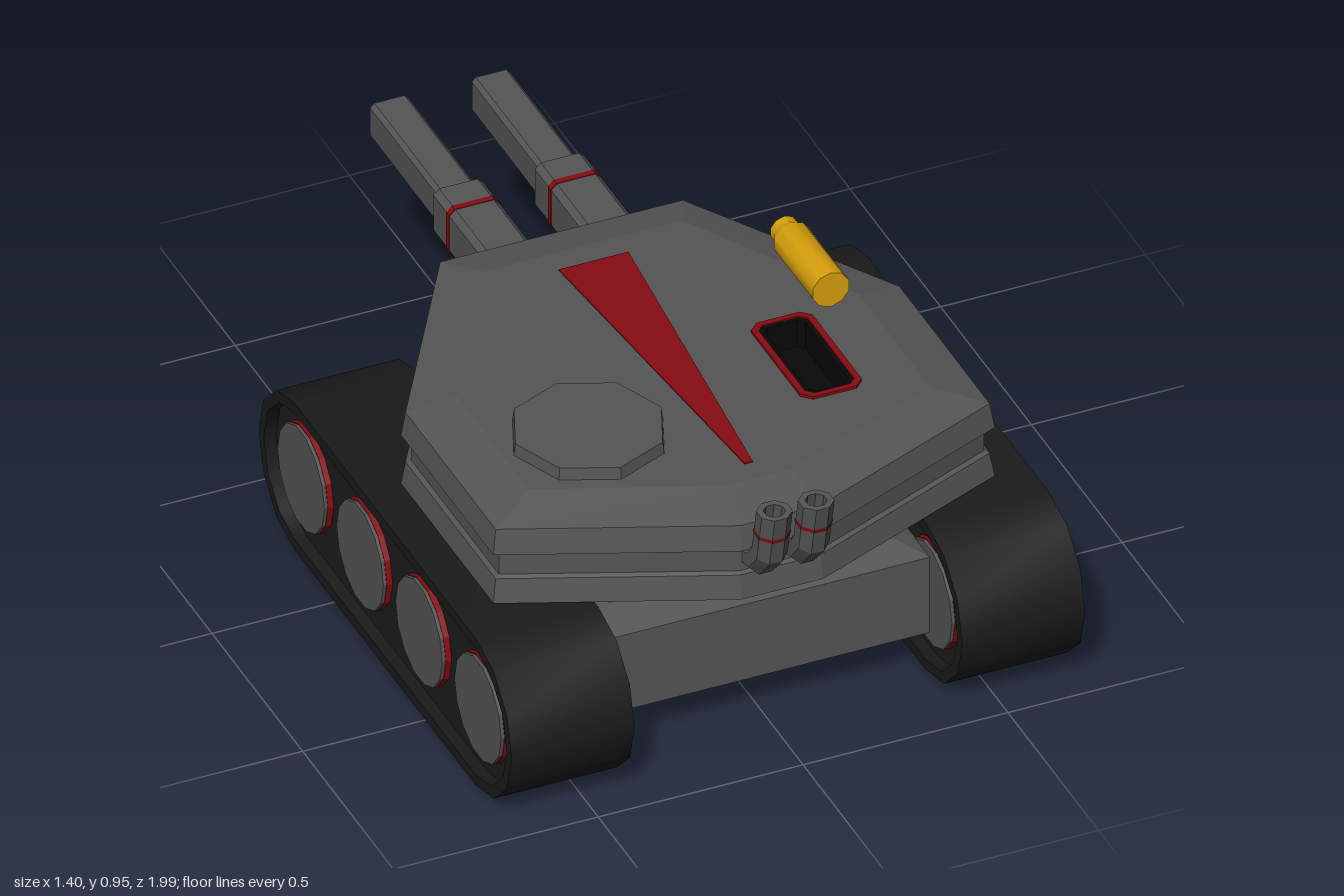
import * as THREE from 'three';
import { toCreasedNormals } from 'three/addons/utils/BufferGeometryUtils.js';

const mat = (color, flatShading = true, side = THREE.FrontSide) =>
  new THREE.MeshStandardMaterial({ color, flatShading, side });
const steel = mat(0x555555), dark = mat(0x1c1c1c), black = mat(0x080808, true, THREE.DoubleSide);
const red = mat(0x850b12), tread = mat(0x1a1a1a, false), brass = mat(0xd8a00c, false, THREE.DoubleSide);

function add(parent, name, geometry, material, x = 0, y = 0, z = 0) {
  const mesh = new THREE.Mesh(geometry, material);
  mesh.name = name;
  mesh.position.set(x, y, z);
  parent.add(mesh);
  return mesh;
}

// Skin over rings of equal length; rings run counter-clockwise seen from the end they grow towards
function loft(rings, capStart = true, capEnd = true) {
  const pos = [];
  const tri = (...p) => p.forEach((v) => pos.push(...v));
  const n = rings[0].length;
  for (let i = 0; i + 1 < rings.length; i++) {
    for (let j = 0; j < n; j++) {
      const k = (j + 1) % n, lo = rings[i], hi = rings[i + 1];
      tri(lo[j], lo[k], hi[k]);
      tri(lo[j], hi[k], hi[j]);
    }
  }
  const last = rings[rings.length - 1];
  for (let j = 1; j + 1 < n; j++) {
    if (capStart) tri(rings[0][0], rings[0][j + 1], rings[0][j]);
    if (capEnd) tri(last[0], last[j], last[j + 1]);
  }
  const g = new THREE.BufferGeometry();
  g.setAttribute('position', new THREE.Float32BufferAttribute(pos, 3));
  g.computeVertexNormals();
  return g;
}

const shapeOf = (pts) => new THREE.Shape(pts.map(([x, y]) => new THREE.Vector2(x, y)));
function extrude(outer, depth, inner) {
  const shape = shapeOf(outer);
  if (inner) shape.holes.push(shapeOf(inner));
  return new THREE.ExtrudeGeometry(shape, { depth, bevelEnabled: false });
}

// Outline of the rounded track end pieces
function stadium(half, r) {
  const pts = [];
  for (let i = 0; i < 14; i++) {
    const right = i < 7, a = (-90 + (right ? i : i - 1) * 30) * Math.PI / 180;
    pts.push([(right ? half : -half) + r * Math.cos(a), r * Math.sin(a)]);
  }
  return pts;
}

// Rectangle with cut corners
const cutRect = (w, h, c) => [[w - c, -h], [w, -h + c], [w, h - c], [w - c, h],
  [-w + c, h], [-w, h - c], [-w, -h + c], [-w + c, -h]];

// Half outline mirrored into a closed ring at height y
function mirrorRing(half, y) {
  const ring = half.map(([x, z]) => [x, y, z]);
  return ring.concat(half.map(([x, z]) => [-x, y, z]).reverse());
}

function makeTrack() {
  const track = new THREE.Group();
  const band = extrude(stadium(0.4975, 0.2), 0.3, stadium(0.4975, 0.172)).rotateY(Math.PI / 2);
  add(track, 'trackBand', toCreasedNormals(band, 0.6), tread, -0.15);
  add(track, 'trackCore', extrude(stadium(0.4975, 0.18), 0.24).rotateY(Math.PI / 2), dark, -0.12);
  for (let i = 0; i < 4; i++) {
    const z = 0.4925 - i * 0.325;
    add(track, 'wheel', new THREE.CylinderGeometry(0.129, 0.129, 0.284, 14).rotateZ(Math.PI / 2), steel, 0, 0.003, z);
    add(track, 'wheelBand', new THREE.CylinderGeometry(0.131, 0.131, 0.268, 14).rotateZ(Math.PI / 2), red, 0, 0.003, z);
  }
  return track;
}

function makeGun() {
  const gun = new THREE.Group();
  const bar = (w, c, depth, hole) => extrude(cutRect(w, w, c), depth, hole && cutRect(hole, hole, 0.008));
  add(gun, 'gunSleeve', bar(0.061, 0.014, 0.36), steel, 0, 0, -0.62);
  add(gun, 'gunBand', bar(0.0625, 0.014, 0.016), red, 0, 0, -0.546);
  add(gun, 'gunBarrel', bar(0.047, 0.01, 0.4, 0.026), steel, 0, 0, -1);
  add(gun, 'boreEnd', new THREE.BoxGeometry(0.06, 0.06, 0.01), black, 0, 0, -0.9);
  return gun;
}

function makeExhaust() {
  const exhaust = new THREE.Group();
  // Each row: height, depth, ring tilt, radius
  const ring = ([y, z, tilt, r]) => Array.from({ length: 8 }, (_, i) => {
    const a = (i + 0.5) * Math.PI / 4, s = r * Math.cos(a);
    return [r * Math.sin(a), y - s * Math.sin(tilt), z + s * Math.cos(tilt)];
  });
  const pipe = [[0.505, 0.85, 1.4, 0.041], [0.515, 0.895, 1.2, 0.041], [0.56, 0.932, 0.5, 0.041],
    [0.68, 0.957, 0, 0.041], [0.68, 0.957, 0, 0.025], [0.62, 0.944, 0, 0.025]];
  add(exhaust, 'exhaustPipe', loft(pipe.map(ring)), steel);
  add(exhaust, 'exhaustBand', loft([[0.614, 0.943, 0.1, 0.0425], [0.624, 0.945, 0.1, 0.0425]].map(ring), false, false), red);
  add(exhaust, 'exhaustOpening', new THREE.CylinderGeometry(0.024, 0.024, 0.004, 8), black, 0, 0.635, 0.947);
  return exhaust;
}

export function createModel() {
  const model = new THREE.Group();
  model.name = 'tank';

  // Hull with a sloped deck and the turret base
  const rect = (x, z0, z1, y) => mirrorRing([[x, z1], [x, z0]], y);
  add(model, 'hull', loft([rect(0.41, -0.22, 0.775, 0.1), rect(0.41, -0.22, 0.775, 0.305),
    rect(0.335, -0.13, 0.685, 0.335)]), steel);
  add(model, 'turretBase', loft([rect(0.335, -0.13, 0.685, 0.33), rect(0.335, -0.13, 0.685, 0.41)]), steel);

  // Tracks
  for (const side of [1, -1]) {
    const track = makeTrack();
    track.name = side > 0 ? 'leftTrack' : 'rightTrack';
    track.position.set(side * 0.55, 0.2, 0.2775);
    model.add(track);
  }

  // Turret body: two armour layers with a groove between
  const turret = new THREE.Group();
  turret.name = 'turret';
  model.add(turret);
  const wide = [[0.1, 0.885], [0.612, 0.675], [0.612, 0.165], [0.3, -0.34]];
  const mid = [[0.098, 0.875], [0.603, 0.667], [0.603, 0.17], [0.296, -0.332]];
  const groove = [[0.096, 0.865], [0.592, 0.66], [0.592, 0.175], [0.29, -0.322]];
  const deck = [[0.075, 0.76], [0.49, 0.595], [0.49, 0.2], [0.245, -0.22]];
  add(turret, 'turretBody', loft([mirrorRing(wide, 0.405), mirrorRing(mid, 0.465), mirrorRing(groove, 0.47),
    mirrorRing(groove, 0.535), mirrorRing(wide, 0.537), mirrorRing(mid, 0.6), mirrorRing(deck, 0.63)], true, false), steel);

  // Roof plate with the ejection port cut out
  const portX = 0.285, portZ = 0.375;
  const portHole = cutRect(0.055, 0.138, 0.015);
  const roof = shapeOf(mirrorRing(deck, 0).map(([x, , z]) => [x, -z]));
  roof.holes.push(shapeOf(portHole.map(([x, y]) => [x + portX, y - portZ])));
  add(turret, 'turretRoof', new THREE.ShapeGeometry(roof).rotateX(-Math.PI / 2), steel, 0, 0.63);
  add(turret, 'portRim', extrude(cutRect(0.075, 0.157, 0.022), 0.01, cutRect(0.06, 0.143, 0.016)).rotateX(-Math.PI / 2),
    red, portX, 0.627, portZ);
  add(turret, 'portWall', extrude(cutRect(0.062, 0.145, 0.016), 0.075, cutRect(0.05, 0.133, 0.014)).rotateX(-Math.PI / 2),
    black, portX, 0.558, portZ);
  add(turret, 'portFloor', new THREE.BoxGeometry(0.12, 0.005, 0.28), black, portX, 0.56, portZ);

  // Roof hatch and stripe
  add(turret, 'hatch', new THREE.CylinderGeometry(0.178, 0.183, 0.04, 8), steel, -0.285, 0.64, 0.46);
  const stripe = [[-0.01, -0.7], [0.01, -0.7], [0.085, 0.155], [-0.085, 0.155]];
  add(turret, 'roofStripe', extrude(stripe, 0.004).rotateX(-Math.PI / 2), red, 0, 0.629);

  // Twin guns and twin exhausts
  for (const side of [1, -1]) {
    const gun = makeGun();
    gun.name = side > 0 ? 'leftGun' : 'rightGun';
    gun.position.set(side * 0.124, 0.518, 0);
    const exhaust = makeExhaust();
    exhaust.name = side > 0 ? 'leftExhaust' : 'rightExhaust';
    exhaust.position.x = side * 0.051;
    turret.add(gun, exhaust);
  }

  // Spent shell casing floating over the port, open at the neck
  const profile = [[0, 0], [0.046, 0], [0.046, 0.215], [0.035, 0.235], [0.035, 0.258], [0.029, 0.258], [0.029, 0.03], [0, 0.03]]
    .map(([x, y]) => new THREE.Vector2(x, y));
  const casing = new THREE.LatheGeometry(profile, 10).rotateX(-Math.PI / 2);
  add(model, 'shellCasing', toCreasedNormals(casing, 0.7), brass, 0.285, 0.9, 0.51);
  return model;
}
